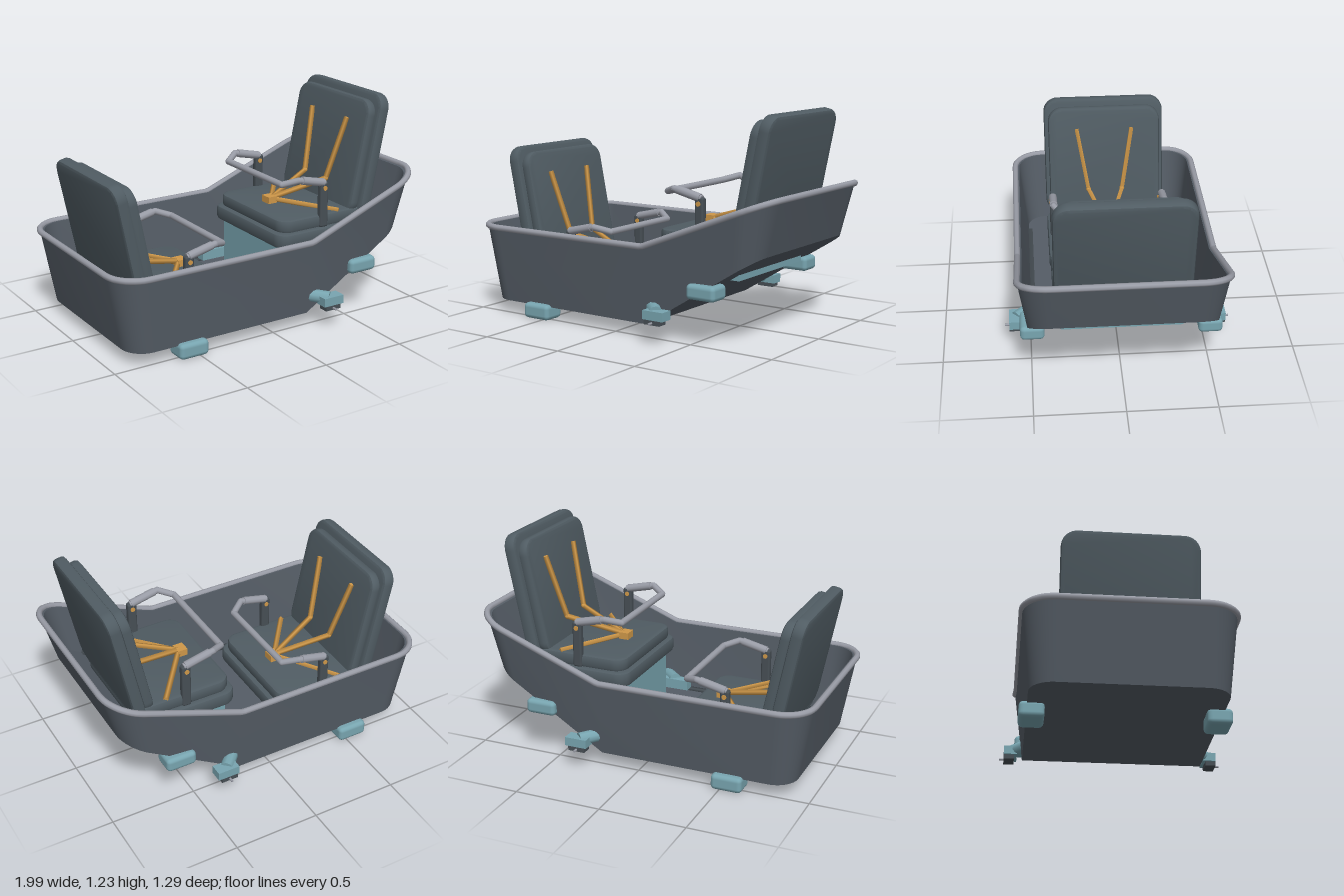
import * as THREE from 'three';
import { toCreasedNormals } from 'three/addons/utils/BufferGeometryUtils.js';
import { RoundedBoxGeometry } from 'three/addons/geometries/RoundedBoxGeometry.js';

const mat = (name, color) => {
  const m = new THREE.MeshStandardMaterial({ color });
  m.name = name;
  return m;
};
const V = (x, y, z) => new THREE.Vector3(x, y, z);
const KINK = 0.22; // where floor and rim start to rise
const rimY = x => 0.51 + Math.max(0, x - KINK) * 0.388;
const baseY = x => 0.075 + Math.max(0, x - KINK) * 0.625;

// Rounded rectangle in plan, +z half first, then its mirror
function ring(hx, hz, r, height) {
  const half = [];
  const arc = (cx, from) => {
    for (let i = 0; i <= 8; i++) {
      const a = from + (i / 8) * Math.PI / 2;
      half.push([cx + r * Math.cos(a), hz - r + r * Math.sin(a)]);
    }
  };
  arc(hx - r, 0);
  half.push([KINK, hz]);
  arc(r - hx, Math.PI / 2);
  const all = half.concat(half.map(([x, z]) => [x, -z]).reverse());
  return all.map(([x, z]) => V(x, height(x), z));
}

// Tub shell: outer wall, lip, inner wall, underside and floor
function hullGeometry() {
  const rings = [
    ring(0.9, 0.515, 0.13, baseY),
    ring(0.98, 0.56, 0.17, rimY),
    ring(0.955, 0.535, 0.15, rimY),
    ring(0.875, 0.49, 0.11, x => baseY(x) + 0.022),
  ];
  const n = rings[0].length, pos = [];
  const quad = (a, b, c, d) => [a, b, c, a, c, d].forEach(p => pos.push(p.x, p.y, p.z));
  for (let k = 0; k < 3; k++) {
    for (let i = 0; i < n; i++) {
      const j = (i + 1) % n;
      quad(rings[k][i], rings[k + 1][i], rings[k + 1][j], rings[k][j]);
    }
  }
  const under = rings[0], floor = rings[3];
  for (let i = 0; i < n / 2 - 1; i++) {
    quad(under[i], under[i + 1], under[n - 2 - i], under[n - 1 - i]);
    quad(floor[n - 1 - i], floor[n - 2 - i], floor[i + 1], floor[i]);
  }
  const g = new THREE.BufferGeometry();
  g.setAttribute('position', new THREE.Float32BufferAttribute(pos, 3));
  return toCreasedNormals(g, 0.5);
}

// Rounded slab with soft edges: w by l outline, thickness t along z from 0
function slab(w, l, t, r) {
  const b = 0.018, x = w / 2 - b, y = l / 2 - b, s = new THREE.Shape();
  s.moveTo(-x + r, -y);
  s.lineTo(x - r, -y).absarc(x - r, -y + r, r, -Math.PI / 2, 0);
  s.lineTo(x, y - r).absarc(x - r, y - r, r, 0, Math.PI / 2);
  s.lineTo(-x + r, y).absarc(-x + r, y - r, r, Math.PI / 2, Math.PI);
  s.lineTo(-x, -y + r).absarc(-x + r, -y + r, r, Math.PI, Math.PI * 1.5);
  const g = new THREE.ExtrudeGeometry(s, {
    depth: t - 2 * b, bevelSize: b, bevelThickness: b, bevelSegments: 2, curveSegments: 6,
  });
  return toCreasedNormals(g.translate(0, 0, b), 0.6);
}

function add(parent, name, geometry, material, x = 0, y = 0, z = 0) {
  const m = new THREE.Mesh(geometry, material);
  m.name = name;
  m.position.set(x, y, z);
  parent.add(m);
  return m;
}

// Bent rod through points; round rods get ball joints
function rod(parent, name, points, r, material, sides = 10) {
  const group = new THREE.Group();
  group.name = name;
  parent.add(group);
  for (let i = 0; i < points.length - 1; i++) {
    const d = points[i + 1].clone().sub(points[i]);
    const g = new THREE.CylinderGeometry(r, r, d.length(), sides);
    if (sides === 4) g.rotateY(Math.PI / 4);
    const c = points[i].clone().addScaledVector(d, 0.5);
    const m = add(group, name, g, material, c.x, c.y, c.z);
    m.quaternion.setFromUnitVectors(V(0, 1, 0), d.normalize());
    if (i > 0) {
      const p = points[i];
      add(group, name + 'Joint', new THREE.SphereGeometry(r, 10, 6), material, p.x, p.y, p.z);
    }
  }
}

export function createModel() {
  const model = new THREE.Group();
  model.name = 'rideTub';
  const slate = mat('hullSlate', 0x555d66);
  const padding = mat('cushionSlate', 0x505c63);
  const teal = mat('teal', 0x78a5b0);
  const steel = mat('lightSteel', 0x999ca6);
  const orange = mat('harnessOrange', 0xcf9849);
  const dark = mat('darkMetal', 0x474f55);

  add(model, 'hull', hullGeometry(), slate);

  // Rim tube following the top edge
  const top = ring(0.98, 0.56, 0.17, rimY), path = new THREE.CurvePath();
  top.forEach((p, i) => path.add(new THREE.LineCurve3(p, top[(i + 1) % top.length])));
  add(model, 'rim', new THREE.TubeGeometry(path, 260, 0.018, 8, true), steel);

  // Seat facing -x, with backrest, harness and lap bar
  function seat(name) {
    const g = new THREE.Group();
    g.name = name;
    model.add(g);
    const flat = (w, l, t) => slab(w, l, t, 0.06).rotateX(-Math.PI / 2);
    add(g, 'seatBase', flat(0.6, 0.74, 0.085), padding, 0.44, 0.415);
    add(g, 'seatCushion', flat(0.6, 0.69, 0.075), padding, 0.465, 0.498);

    const back = new THREE.Group();
    back.name = 'backrest';
    back.position.set(0.76, 0.5, 0);
    back.rotation.z = -0.2;
    g.add(back);
    const upright = (w, l, t) => slab(w, l, t, 0.07).rotateY(Math.PI / 2);
    add(back, 'backShell', upright(0.74, 0.735, 0.07), padding, -0.07, 0.3675);
    add(back, 'backCushion', upright(0.69, 0.69, 0.06), padding, -0.13, 0.345);

    add(g, 'buckle', new THREE.BoxGeometry(0.06, 0.04, 0.07), orange, 0.31, 0.6);
    for (const s of [1, -1]) {
      rod(g, 'shoulderStrap', [V(0.32, 0.605, 0), V(0.64, 0.7, s * 0.105), V(0.735, 1.075, s * 0.17)], 0.016, orange, 4);
      rod(g, 'lapStrap', [V(0.32, 0.6, 0), V(0.57, 0.575, s * 0.33)], 0.016, orange, 4);
      add(g, 'lapBarPost', new RoundedBoxGeometry(0.055, 0.27, 0.04, 2, 0.012), dark, 0.45, 0.635, s * 0.335);
      add(g, 'lapBarHinge', new THREE.CylinderGeometry(0.014, 0.014, 0.05, 10).rotateX(Math.PI / 2), orange, 0.45, 0.735, s * 0.335);
      rod(g, 'handGrip', [V(0.45, 0.765, s * 0.335), V(0.3, 0.8, s * 0.335)], 0.024, steel);
    }
    const bar = [[0.46, 0.763, 0.335], [0.28, 0.803, 0.335], [0.2, 0.777, 0.28]];
    rod(g, 'lapBar', [
      ...bar.map(p => V(...p)),
      ...bar.reverse().map(([x, y, z]) => V(x, y, -z)),
    ], 0.019, steel);
    return g;
  }
  seat('highSeat');
  const low = seat('lowSeat');
  low.rotation.y = Math.PI;
  low.position.y = -0.27;

  // Pedestals under the seats
  const side = new THREE.Shape([[0.2, 0.09], [0.26, 0.11], [0.72, 0.4], [0.72, 0.42], [0.2, 0.42]]
    .map(p => new THREE.Vector2(...p)));
  add(model, 'highPedestal', new THREE.ExtrudeGeometry(side, { depth: 0.66, bevelEnabled: false }), teal, 0, 0, -0.33);
  add(model, 'lowPedestal', new THREE.BoxGeometry(0.5, 0.06, 0.66), teal, -0.46, 0.12);

  // Underside pads, floor rails and side couplings, mirrored across z
  for (const s of [1, -1]) {
    add(model, 'rearPad', new RoundedBoxGeometry(0.18, 0.09, 0.135, 2, 0.025), teal, -0.54, 0.045, s * 0.49);
    add(model, 'frontPad', new RoundedBoxGeometry(0.18, 0.085, 0.135, 2, 0.025), teal, 0.59, 0.3, s * 0.49);
    rod(model, 'floorRail', [V(-0.7, 0.1, s * 0.48), V(KINK, 0.1, s * 0.48), V(0.72, 0.412, s * 0.48)], 0.02, dark, 4);

    add(model, 'couplingMount', new THREE.BoxGeometry(0.16, 0.06, 0.06), teal, 0.16, 0.16, s * 0.415);
    rod(model, 'couplingArm', [V(0.17, 0.18, s * 0.41), V(0.33, 0.165, s * 0.58)], 0.038, teal);
    add(model, 'couplingBlock', new THREE.BoxGeometry(0.13, 0.05, 0.075), teal, 0.335, 0.157, s * 0.582);
    add(model, 'couplingPlate', new THREE.BoxGeometry(0.1, 0.026, 0.06), dark, 0.33, 0.119, s * 0.59);
    add(model, 'couplingPin', new THREE.CylinderGeometry(0.007, 0.007, 0.08, 8).rotateX(Math.PI / 2), steel, 0.33, 0.117, s * 0.605);
  }
  add(model, 'bowBar', new THREE.BoxGeometry(0.06, 0.035, 0.67), teal, 0.667, 0.357);
  return model;
}
